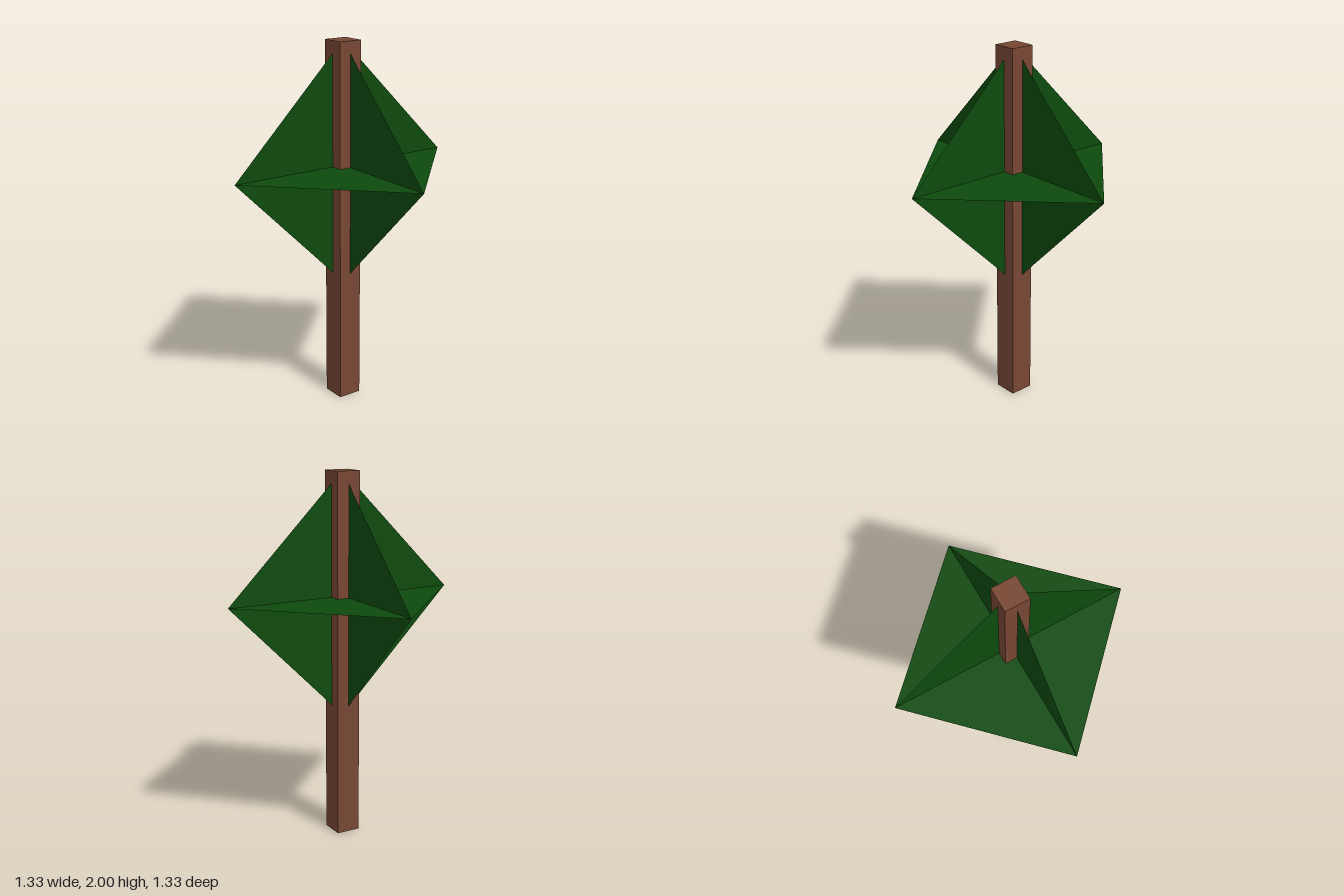
import * as THREE from 'three';

export function createModel() {
  const tree = new THREE.Group();
  tree.name = 'tree';
  const bark = new THREE.MeshStandardMaterial({ color: 0x774733, flatShading: true, side: THREE.DoubleSide });
  const leaf = new THREE.MeshStandardMaterial({ color: 0x0d4a0d, flatShading: true, side: THREE.DoubleSide });

  // Square trunk, capped on top and open underneath
  const width = 2 / 15;
  const trunkGeometry = new THREE.BoxGeometry(width, 2, width);
  const faces = Array.from(trunkGeometry.index.array);
  faces.splice(18, 6); // drop the bottom face
  trunkGeometry.setIndex(faces);
  trunkGeometry.clearGroups();
  const trunk = new THREE.Mesh(trunkGeometry, bark);
  trunk.name = 'trunk';
  trunk.position.y = 1;
  tree.add(trunk);

  // Foliage: three flat diamonds crossing at right angles
  const foliage = new THREE.Group();
  foliage.name = 'foliage';
  foliage.position.y = 4 / 3;
  const diamond = new THREE.CircleGeometry(2 / 3, 4);
  const planes = [
    ['acrossLeaf', 0, 0],
    ['frontToBackLeaf', 0, Math.PI / 2],
    ['levelLeaf', -Math.PI / 2, 0],
  ];
  for (const [name, rx, ry] of planes) {
    const mesh = new THREE.Mesh(diamond, leaf);
    mesh.name = name;
    mesh.rotation.set(rx, ry, 0);
    foliage.add(mesh);
  }
  tree.add(foliage);

  return tree;
}
